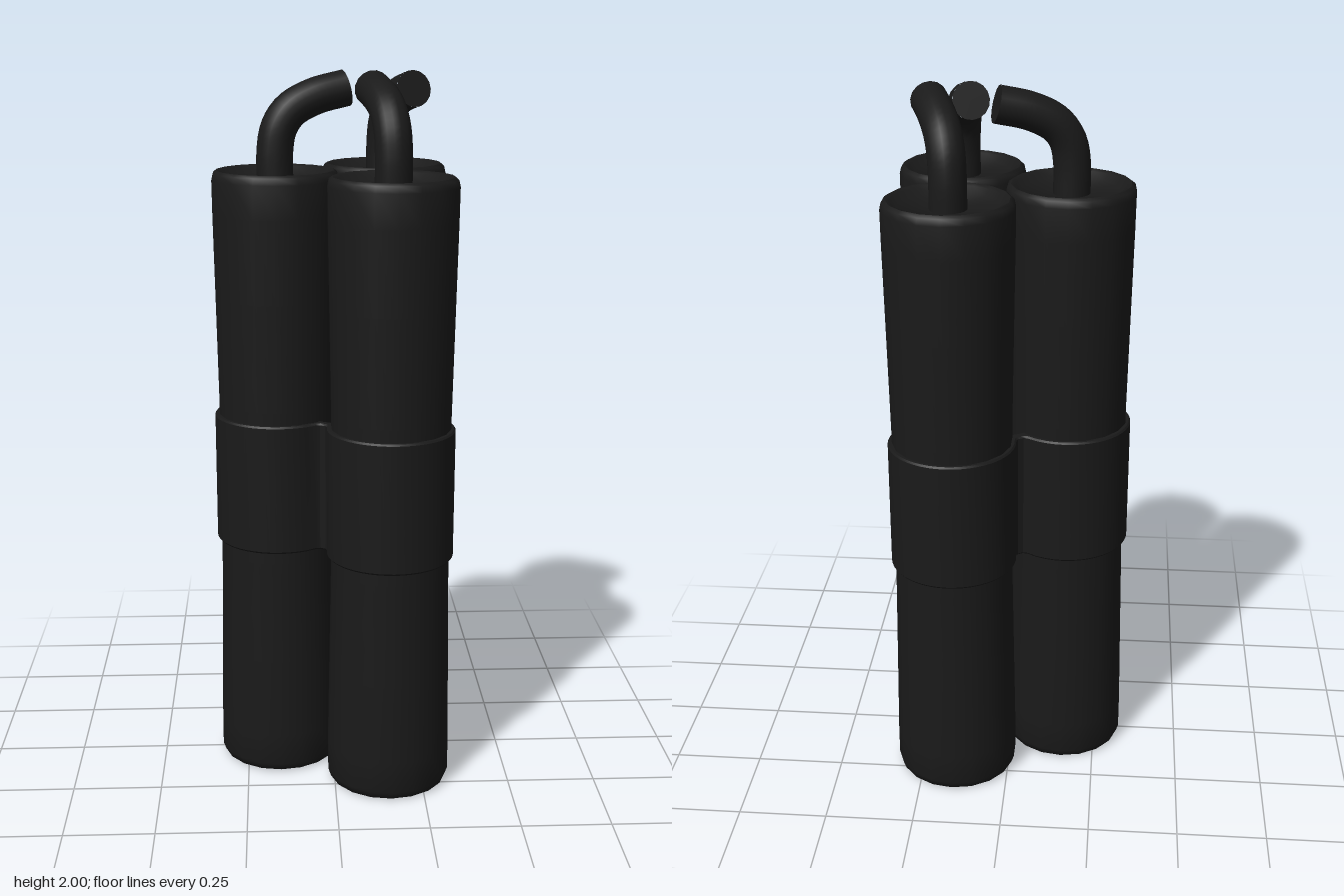
import * as THREE from 'three';
import { toCreasedNormals } from 'three/addons/utils/BufferGeometryUtils.js';

const black = new THREE.MeshStandardMaterial({ color: 0x1a1a1a });

// Stick centres (x, z) with the matching fuse tip (x, z)
const sticks = [
  { name: 'right', x: -0.155, z: 0, tip: [0.04, -0.05] },
  { name: 'backLeft', x: 0.155, z: -0.18, tip: [0.222, 0] },
  { name: 'frontLeft', x: 0.155, z: 0.18, tip: [0.11, -0.012] },
];

function mesh(name, geometry) {
  const m = new THREE.Mesh(geometry, black);
  m.name = name;
  return m;
}

// Tube slightly waisted in the middle, with rounded rims and a dished top
function stickGeometry() {
  const profile = [
    [0, 0.005], [0.158, 0.005], [0.168, 0.01], [0.175, 0.03], [0.175, 0.12], [0.171, 0.35],
    [0.166, 0.65], [0.165, 0.87], [0.166, 1.09], [0.171, 1.39], [0.175, 1.62],
    [0.176, 1.712], [0.172, 1.73], [0.162, 1.737], [0.15, 1.732], [0.135, 1.715], [0, 1.705],
  ].map(([r, y]) => new THREE.Vector2(r, y));
  return toCreasedNormals(new THREE.LatheGeometry(profile, 18), 0.9);
}

// Fuse: rises from the stick, then bends over towards its tip
function fuse(s) {
  const at = (t, y) => new THREE.Vector3(
    THREE.MathUtils.lerp(s.x, s.tip[0], t), y, THREE.MathUtils.lerp(s.z, s.tip[1], t));
  const curve = new THREE.CatmullRomCurve3([
    at(0, 1.69), at(0, 1.79), at(0.06, 1.85), at(0.22, 1.895), at(0.55, 1.93), at(1, 1.952),
  ]);
  const group = new THREE.Group();
  group.name = s.name + 'Fuse';
  group.add(mesh('fuseCord', new THREE.TubeGeometry(curve, 24, 0.05, 16)));
  const cap = mesh('fuseEnd', new THREE.CircleGeometry(0.05, 16));
  cap.position.copy(curve.getPoint(1));
  cap.quaternion.setFromUnitVectors(new THREE.Vector3(0, 0, 1), curve.getTangent(1));
  group.add(cap);
  return group;
}

// Band outline: union of three circles, bridged across the grooves
function bandOutline(radius, bridge) {
  const points = [], cx = 0.052, d = 0.207, n = 108;
  for (let i = 0; i < n; i++) {
    const a = (i / n) * Math.PI * 2;
    // angle to the nearest stick, which sit at 60, 180 and 300 degrees
    const t = (a % (Math.PI * 2 / 3)) - Math.PI / 3;
    const h = radius ** 2 - (d * Math.sin(t)) ** 2;
    const r = Math.max(bridge, h > 0 ? d * Math.cos(t) + Math.sqrt(h) : 0);
    points.push(new THREE.Vector2(cx + r * Math.cos(a), r * Math.sin(a)));
  }
  return points;
}

function band() {
  const shape = new THREE.Shape(bandOutline(0.173, 0.163));
  shape.holes.push(new THREE.Path(bandOutline(0.157, 0.146)));
  const geometry = new THREE.ExtrudeGeometry(shape, {
    depth: 0.36, bevelThickness: 0.005, bevelSize: 0.004, bevelSegments: 1,
  });
  geometry.rotateX(-Math.PI / 2).translate(0, 0.69, 0);
  return mesh('band', toCreasedNormals(geometry, 0.6));
}

export function createModel() {
  const model = new THREE.Group();
  model.name = 'stickBundle';
  const geometry = stickGeometry();
  for (const s of sticks) {
    const stick = mesh(s.name + 'Stick', geometry);
    stick.position.set(s.x, 0, s.z);
    model.add(stick, fuse(s));
  }
  model.add(band());
  return model;
}
